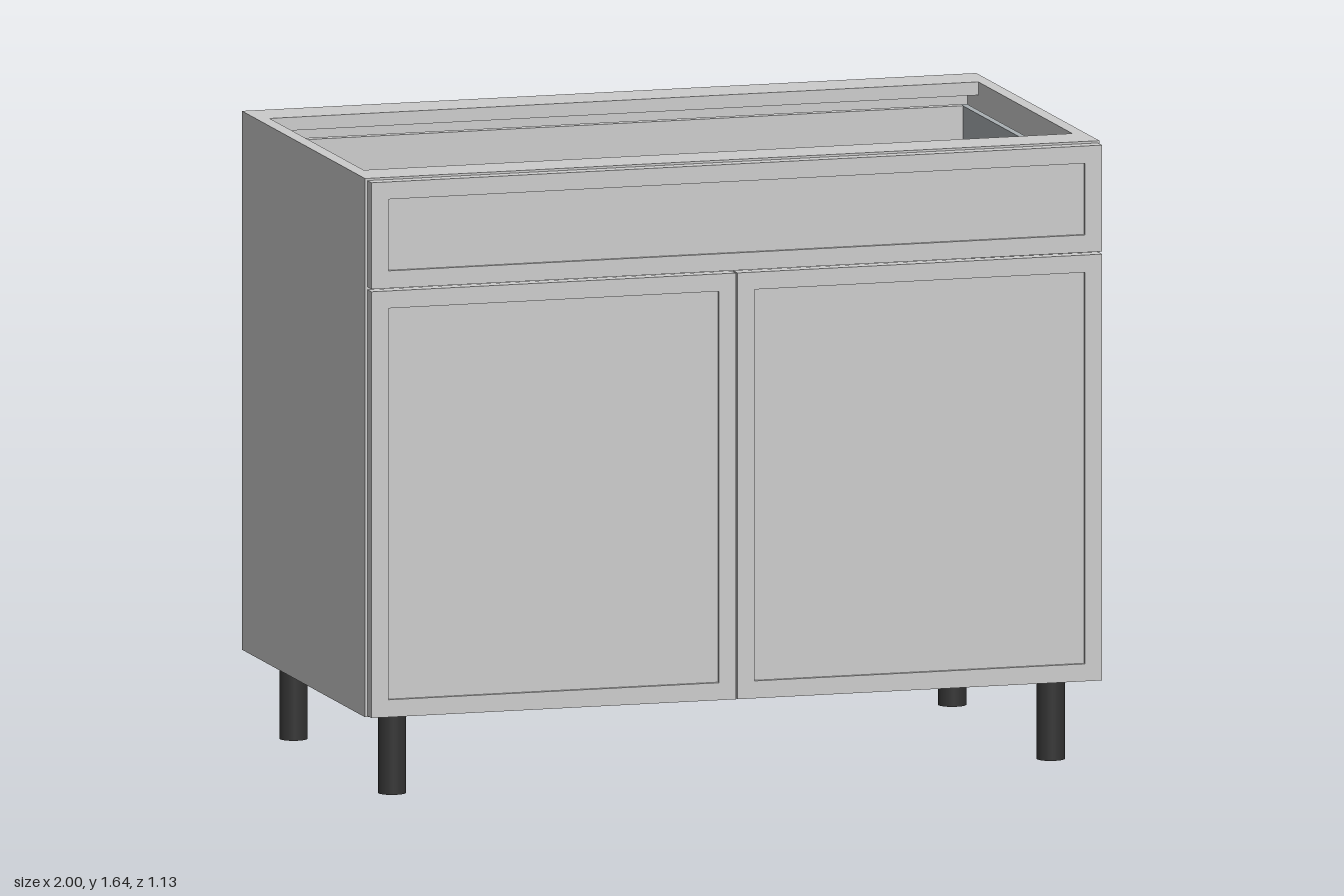
import * as THREE from 'three';

const grey = new THREE.MeshStandardMaterial({ color: 0xcccccc });
const steel = new THREE.MeshStandardMaterial({ color: 0xaab0b4 });
const black = new THREE.MeshStandardMaterial({ color: 0x333333 });

// Box given by its lower and upper limits on each axis
function box(name, [x0, x1], [y0, y1], [z0, z1], material = grey) {
  const mesh = new THREE.Mesh(new THREE.BoxGeometry(x1 - x0, y1 - y0, z1 - z0), material);
  mesh.position.set((x0 + x1) / 2, (y0 + y1) / 2, (z0 + z1) / 2);
  mesh.name = name;
  return mesh;
}

// Framed front: a flat frame around a slightly recessed panel
function framedFront(name, [x0, x1], [y0, y1]) {
  const back = 0.531, front = 0.567, border = 0.046, recess = 0.01;
  const group = new THREE.Group();
  group.name = name;
  const rect = (Type, a, b, c, d) => new Type([
    new THREE.Vector2(a, c), new THREE.Vector2(b, c),
    new THREE.Vector2(b, d), new THREE.Vector2(a, d),
  ]);
  const shape = rect(THREE.Shape, x0, x1, y0, y1);
  const inner = [x0 + border, x1 - border, y0 + border, y1 - border];
  shape.holes.push(rect(THREE.Path, ...inner));
  const frame = new THREE.Mesh(
    new THREE.ExtrudeGeometry(shape, { depth: front - back, bevelEnabled: false }), grey);
  frame.position.z = back;
  frame.name = name + 'Frame';
  const panel = box(name + 'Panel', [inner[0], inner[1]], [inner[2], inner[3]], [back, front - recess]);
  group.add(frame, panel);
  return group;
}

export function createModel() {
  const model = new THREE.Group();
  model.name = 'baseCabinet';
  const bottom = 0.22, top = 1.643, back = -0.567, front = 0.527, inside = 0.965;

  // Carcass
  model.add(
    box('leftSide', [inside, 1], [bottom, top], [back, front]),
    box('rightSide', [-1, -inside], [bottom, top], [back, front]),
    box('bottomPanel', [-inside, inside], [bottom, bottom + 0.035], [back + 0.035, front]),
    box('backPanel', [-inside, inside], [bottom, top], [back, back + 0.035]),
    box('backRail', [-inside, inside], [top - 0.035, top], [back + 0.035, -0.435]),
    box('frontRail', [-inside, inside], [top - 0.035, top], [0.4, front]),
  );

  // Doors and drawer front
  model.add(
    framedFront('leftDoor', [0.002, 0.995], [0.224, 1.35]),
    framedFront('rightDoor', [-0.995, -0.002], [0.224, 1.35]),
    framedFront('drawerFront', [-0.995, 0.995], [1.357, 1.638]),
  );

  // Drawer box with its runners
  const drawer = new THREE.Group();
  drawer.name = 'drawer';
  const dz = [-0.5, 0.52];
  drawer.add(
    box('drawerBase', [-0.935, 0.935], [1.375, 1.4], dz),
    box('drawerBack', [-0.935, 0.935], [1.4, 1.575], [dz[0], dz[0] + 0.025]),
    box('drawerInnerFront', [-0.935, 0.935], [1.4, 1.575], [dz[1] - 0.025, dz[1]]),
  );
  for (const s of [-1, 1]) {
    const span = (a, b) => (s > 0 ? [a, b] : [-b, -a]);
    drawer.add(
      box('drawerSide', span(0.935, 0.953), [1.375, 1.575], dz, steel),
      box('drawerRunner', span(0.953, inside), [1.385, 1.44], dz, steel),
    );
  }
  model.add(drawer);

  // Legs
  const legGeometry = new THREE.CylinderGeometry(0.037, 0.037, bottom, 32);
  for (const x of [-0.897, 0.897]) {
    for (const z of [-0.445, 0.43]) {
      const leg = new THREE.Mesh(legGeometry, black);
      leg.position.set(x, bottom / 2, z);
      leg.name = z > 0 ? 'frontLeg' : 'backLeg';
      model.add(leg);
    }
  }
  return model;
}
